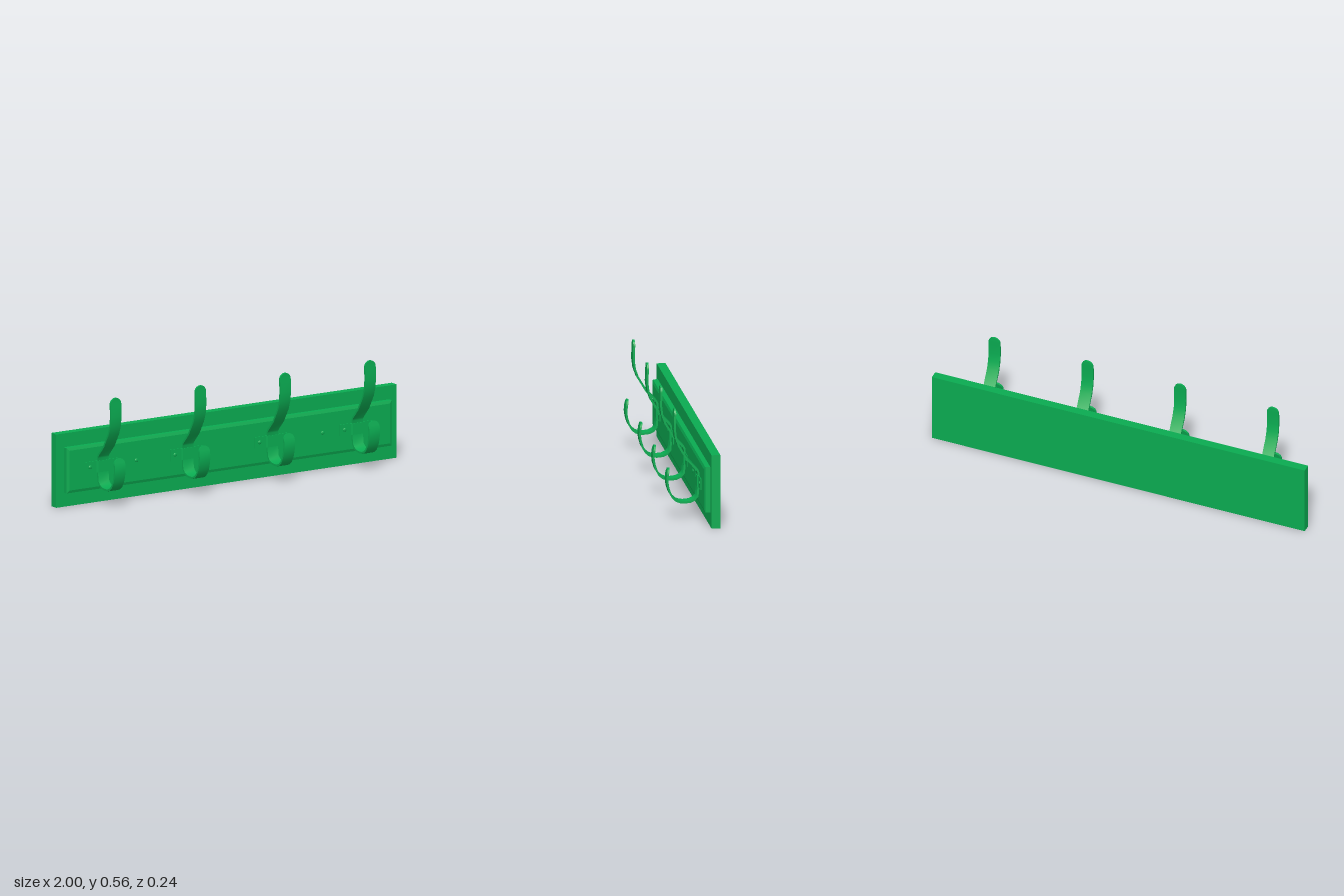
import * as THREE from 'three';
import { toCreasedNormals } from 'three/addons/utils/BufferGeometryUtils.js';

const green = new THREE.MeshStandardMaterial({ color: 0x0aab51 });

function add(parent, name, geometry, x = 0, y = 0, z = 0) {
  const mesh = new THREE.Mesh(geometry, green);
  mesh.name = name;
  mesh.position.set(x, y, z);
  parent.add(mesh);
}

// Box whose front face is drawn in to leave a chamfered rim.
function chamferedPanel(w, h, d, inset, rim) {
  const g = new THREE.BoxGeometry(w, h, d, 1, 1, 2);
  const p = g.attributes.position;
  for (let i = 0; i < p.count; i++) {
    const z = p.getZ(i);
    if (Math.abs(z) < 1e-6) p.setZ(i, d / 2 - rim);
    else if (z > 0) {
      p.setX(i, p.getX(i) - Math.sign(p.getX(i)) * inset);
      p.setY(i, p.getY(i) - Math.sign(p.getY(i)) * inset);
    }
  }
  return toCreasedNormals(g, 0.3);
}

// Bent flat strip with half-round ends; the path holds [z, y] pairs.
function bentStrip(path, halfWidth, thickness) {
  const pts = path.map(([z, y]) => new THREE.Vector2(z, y));
  const lengths = [0];
  for (let i = 1; i < pts.length; i++) lengths.push(lengths[i - 1] + pts[i].distanceTo(pts[i - 1]));
  const total = lengths[lengths.length - 1];

  // Stations: path corners plus close steps around both rounded ends.
  const stations = lengths.filter((s) => s > halfWidth && s < total - halfWidth);
  for (let i = 0; i <= 8; i++) {
    const s = halfWidth * (1 - Math.cos((i / 8) * Math.PI / 2));
    stations.push(s, total - s);
  }
  stations.sort((a, b) => a - b);

  const at = (s) => {
    let k = 1;
    while (k < pts.length - 1 && lengths[k] < s) k++;
    return pts[k - 1].clone().lerp(pts[k], (s - lengths[k - 1]) / (lengths[k] - lengths[k - 1]));
  };

  const pos = [], index = [];
  stations.forEach((s, i) => {
    const c = at(s);
    const a = at(stations[Math.max(i - 1, 0)]);
    const b = at(stations[Math.min(i + 1, stations.length - 1)]);
    const t = b.sub(a).normalize();
    const nz = -t.y * thickness / 2, ny = t.x * thickness / 2;
    const e = Math.min(s, total - s, halfWidth);
    const w = Math.max(Math.sqrt(halfWidth ** 2 - (halfWidth - e) ** 2), 0.001);
    for (const [sx, sn] of [[-1, 1], [1, 1], [1, -1], [-1, -1]]) pos.push(sx * w, c.y + sn * ny, c.x + sn * nz);
    if (i === 0) return;
    for (let k = 0; k < 4; k++) {
      const p = (i - 1) * 4 + k, q = (i - 1) * 4 + (k + 1) % 4;
      index.push(p, p + 4, q, q, p + 4, q + 4);
    }
  });
  const n = (stations.length - 1) * 4;
  index.push(0, 1, 2, 0, 2, 3, n, n + 2, n + 1, n, n + 3, n + 2);

  const g = new THREE.BufferGeometry();
  g.setAttribute('position', new THREE.Float32BufferAttribute(pos, 3));
  g.setIndex(index);
  return toCreasedNormals(g, 0.8);
}

// Low domed screw head facing +z.
function screwHead(radius, height) {
  const g = new THREE.SphereGeometry(radius, 16, 6, 0, Math.PI * 2, 0, Math.PI / 2);
  return g.rotateX(Math.PI / 2).scale(1, 1, height / radius);
}

export function createModel() {
  const model = new THREE.Group();
  model.name = 'coatRack';

  // Wall board and raised panel
  add(model, 'backBoard', new THREE.BoxGeometry(2, 0.372, 0.044), 0, 0.186, -0.097);
  add(model, 'raisedPanel', chamferedPanel(1.91, 0.23, 0.03, 0.014, 0.005), 0, 0.187, -0.06);

  // Double hook: tall upper prong, then a curl below
  const hookPath = [
    [0.075, 0.556], [0.075, 0.535], [0.078, 0.46], [0.072, 0.412], [0.057, 0.37], [0.015, 0.3],
    [-0.036, 0.245], [-0.041, 0.232], [-0.041, 0.165], [-0.036, 0.114], [-0.021, 0.096],
    [0, 0.086], [0.03, 0.083], [0.05, 0.085], [0.069, 0.092], [0.086, 0.107],
    [0.102, 0.135], [0.111, 0.165], [0.115, 0.195], [0.112, 0.225], [0.105, 0.256],
  ];
  const hookGeometry = bentStrip(hookPath, 0.031, 0.01);

  // Strap with a raised middle that clamps the hook
  const strap = new THREE.Shape([
    [-0.1, 0], [0.1, 0], [0.1, 0.004], [0.036, 0.004], [0.031, 0.012],
    [-0.031, 0.012], [-0.036, 0.004], [-0.1, 0.004],
  ].map(([x, y]) => new THREE.Vector2(x, y)));
  const strapGeometry = new THREE.ExtrudeGeometry(strap, { depth: 0.058, bevelEnabled: false });
  strapGeometry.translate(0, 0, -0.029).rotateX(Math.PI / 2);

  const screwGeometry = screwHead(0.01, 0.005);

  for (const x of [-0.748, -0.25, 0.247, 0.746]) {
    const unit = new THREE.Group();
    unit.name = 'hookUnit';
    unit.position.x = x;
    add(unit, 'hook', hookGeometry);
    add(unit, 'strap', strapGeometry, 0, 0.189, -0.045);
    for (const side of [-1, 1]) add(unit, 'strapScrew', screwGeometry, side * 0.073, 0.19, -0.041);
    model.add(unit);
  }

  // Screws fixing the panel to the wall
  for (const x of [-0.548, 0.546]) add(model, 'panelScrew', screwGeometry, x, 0.19, -0.045);

  return model;
}
